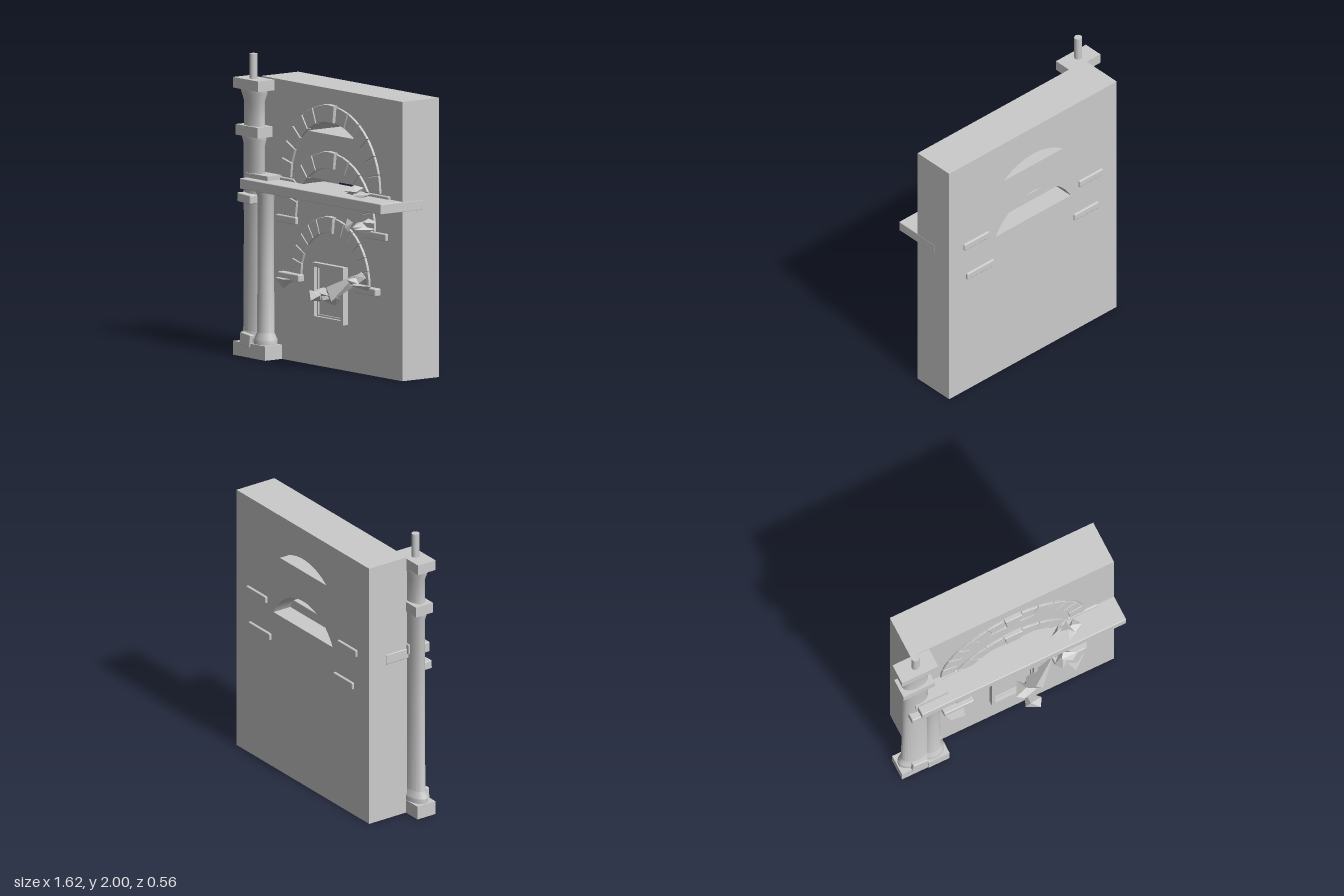
import * as THREE from 'three';
import { RoundedBoxGeometry } from 'three/addons/geometries/RoundedBoxGeometry.js';
import { ConvexGeometry } from 'three/addons/geometries/ConvexGeometry.js';
import { toCreasedNormals } from 'three/addons/utils/BufferGeometryUtils.js';

const grey = new THREE.MeshStandardMaterial({ color: 0xcccccc });
const flat = new THREE.MeshStandardMaterial({ color: 0xcccccc, flatShading: true });
const CX = 0.06; // shared centre line of the arches

export function createModel() {
  const model = new THREE.Group();
  model.name = 'ruinedWall';

  const add = (name, geometry, material = grey) => {
    const mesh = new THREE.Mesh(geometry, material);
    mesh.name = name;
    model.add(mesh);
    return mesh;
  };
  // Box given by its limits on each axis, optionally with rounded edges
  const box = (name, x0, x1, y0, y1, z0, z1, round = 0) => {
    const size = [x1 - x0, y1 - y0, z1 - z0];
    const g = round ? new RoundedBoxGeometry(...size, 2, round) : new THREE.BoxGeometry(...size);
    const mesh = add(name, g);
    mesh.position.set((x0 + x1) / 2, (y0 + y1) / 2, (z0 + z1) / 2);
    return mesh;
  };

  // Wall with two arched openings cut off by flat sills
  const wall = new THREE.Shape();
  wall.moveTo(-0.68, 0).lineTo(0.805, 0).lineTo(0.805, 1.845).lineTo(-0.68, 1.845).closePath();
  for (const [cy, r, sill] of [[1.21, 0.42, 1.54], [0.955, 0.37, 1.12]]) {
    const a = Math.asin((sill - cy) / r);
    const hole = new THREE.Path();
    hole.absarc(CX, cy, r, a, Math.PI - a, false);
    hole.closePath();
    wall.holes.push(hole);
  }
  const wallGeometry = new THREE.ExtrudeGeometry(wall, { depth: 0.305, bevelEnabled: false, curveSegments: 16 });
  add('wall', toCreasedNormals(wallGeometry, 0.5)).position.z = -0.265;
  box('archInfill', -0.25, 0.37, 1.235, 1.36, 0, 0.036);

  // Arches made of wedge stones, with a raised keystone
  const arch = (name, cy, rIn, rOut, count) => {
    const step = Math.PI / count, gap = 0.012;
    for (let i = 0; i < count; i++) {
      const key = i === (count - 1) / 2;
      const a0 = i * step + gap, a1 = (i + 1) * step - gap;
      const p = (r, a) => new THREE.Vector2(CX + r * Math.cos(a), cy + r * Math.sin(a));
      const top = key ? rOut + 0.008 : rOut;
      const stone = new THREE.Shape([p(rIn, a0), p(top, a0), p(top, (a0 + a1) / 2), p(top, a1), p(rIn, a1)]);
      const g = new THREE.ExtrudeGeometry(stone, {
        depth: key ? 0.055 : 0.04, bevelThickness: 0.004, bevelSize: 0.003, bevelSegments: 1,
      });
      add(name + (key ? 'Keystone' : 'Stone'), g, flat).position.z = 0.011;
    }
  };
  arch('upperArch', 1.21, 0.42, 0.522, 13);
  arch('middleArch', 0.955, 0.37, 0.467, 11);
  arch('lowerArch', 0.585, 0.312, 0.408, 13);

  // Springer stones; the upper two pairs run right through the wall
  for (const [x0, x1, y, z0, z1] of [
    [-0.55, -0.34, 1.18, -0.28, 0.055], [0.46, 0.68, 1.18, -0.28, 0.055],
    [-0.51, -0.295, 0.93, -0.28, 0.06], [0.415, 0.655, 0.93, -0.28, 0.06],
    [-0.455, -0.235, 0.56, -0.1, 0.085], [0.35, 0.575, 0.56, -0.1, 0.085],
  ]) box('springerStone', x0, x1, y - 0.025, y + 0.025, z0, z1, 0.008);

  // Ledge across the wall
  box('ledge', -0.685, 0.806, 1.115, 1.185, -0.13, 0.22, 0.006);

  // Window frame with a stepped inner border
  const frame = (name, inset, width, depth) => {
    const rect = (P, d) => new P().moveTo(-0.105 + d, 0.305 + d).lineTo(0.23 - d, 0.305 + d)
      .lineTo(0.23 - d, 0.685 - d).lineTo(-0.105 + d, 0.685 - d).closePath();
    const s = rect(THREE.Shape, inset);
    s.holes.push(rect(THREE.Path, inset + width));
    add(name, new THREE.ExtrudeGeometry(s, { depth, bevelEnabled: false })).position.z = 0.035;
  };
  frame('windowFrame', 0, 0.027, 0.043);
  frame('windowInnerFrame', 0.027, 0.01, 0.018);

  // Half-depth columns, turned from a profile and flattened in z
  const column = (name, x, z, flatten, points) => {
    const profile = points.map(([r, y]) => new THREE.Vector2(r, y));
    const mesh = add(name, toCreasedNormals(new THREE.LatheGeometry(profile, 24), 0.5));
    mesh.position.set(x, 0, z);
    mesh.scale.z = flatten;
  };
  column('tallColumn', -0.68, 0.1, 0.55, [
    [0, 0.08], [0.122, 0.08], [0.122, 0.125], [0.097, 0.17], [0.092, 0.8], [0.094, 1.4], [0.106, 1.435],
    [0.106, 1.47], [0.092, 1.5], [0.092, 1.69], [0.115, 1.745], [0.115, 1.77], [0, 1.77],
  ]);
  column('shortColumn', -0.56, 0.1, 0.8, [
    [0, 0.08], [0.088, 0.08], [0.088, 0.125], [0.066, 0.17], [0.061, 0.6], [0.063, 1.07], [0.08, 1.11],
    [0.08, 1.16], [0, 1.16],
  ]);
  box('tallColumnBase', -0.81, -0.55, 0, 0.092, 0.03, 0.175);
  box('shortColumnBase', -0.62, -0.465, 0, 0.095, 0.03, 0.18);
  box('columnCollar', -0.795, -0.565, 1.455, 1.525, 0.03, 0.165);
  box('columnCap', -0.81, -0.545, 1.765, 1.835, 0.035, 0.175);
  box('shortColumnCap', -0.7, -0.465, 1.15, 1.215, 0.035, 0.16);
  const pole = add('pole', new THREE.CylinderGeometry(0.026, 0.026, 0.18, 16));
  pole.position.set(-0.68, 1.91, 0.108);

  // Loose stones caught on the columns
  const looseA = box('looseStone', -0.745, -0.605, 1.02, 1.08, 0.12, 0.195, 0.008);
  looseA.rotation.z = -0.05;
  const looseB = box('looseStone', -0.735, -0.625, 0.068, 0.158, 0.12, 0.182, 0.008);
  looseB.rotation.z = -0.12;

  // Broken shards: six points, one touching each side of the given limits
  let seed = 7;
  const rand = () => (seed = (seed * 16807) % 2147483647) / 2147483647;
  const shard = (...limits) => {
    const points = [];
    for (let axis = 0; axis < 3; axis++) {
      for (let side = 0; side < 2; side++) {
        const c = [0, 1, 2].map((k) => {
          const t = k === axis ? side : 0.2 + 0.6 * rand();
          return limits[2 * k] + t * (limits[2 * k + 1] - limits[2 * k]);
        });
        points.push(new THREE.Vector3(...c));
      }
    }
    add('shard', new ConvexGeometry(points), flat);
  };
  // On the ledge
  shard(0.31, 0.43, 1.18, 1.235, 0.06, 0.13);
  shard(0.37, 0.46, 1.19, 1.26, 0.07, 0.21);
  shard(0.41, 0.53, 1.18, 1.22, 0.06, 0.17);
  // Around the right middle springer
  shard(0.23, 0.325, 0.93, 1.015, 0.04, 0.1);
  shard(0.39, 0.52, 0.96, 1.02, 0.06, 0.17);
  shard(0.45, 0.58, 0.95, 1.0, 0.05, 0.22);
  shard(0.47, 0.56, 0.97, 1.045, 0.05, 0.13);
  // On the lower springers
  shard(0.34, 0.46, 0.57, 0.65, 0.05, 0.16);
  shard(0.39, 0.51, 0.58, 0.68, 0.04, 0.13);
  shard(0.42, 0.56, 0.57, 0.62, 0.06, 0.2);
  add('shard', new ConvexGeometry([
    [-0.455, 0.545, 0.05], [-0.31, 0.545, 0.05], [-0.33, 0.55, 0.14], [-0.43, 0.55, 0.13], [-0.38, 0.48, 0.1],
  ].map((p) => new THREE.Vector3(...p))), flat);
  // In front of the window
  add('longShard', new ConvexGeometry([
    [0.35, 0.655, 0.06], [0.17, 0.56, 0.17], [0.12, 0.5, 0.13], [0.22, 0.47, 0.17], [0.3, 0.56, 0.06], [0.15, 0.49, 0.06],
  ].map((p) => new THREE.Vector3(...p))), flat);
  shard(0.03, 0.18, 0.49, 0.55, 0.06, 0.2);
  shard(0.06, 0.18, 0.46, 0.54, 0.15, 0.285);
  shard(0.06, 0.23, 0.43, 0.51, 0.05, 0.16);

  return model;
}
